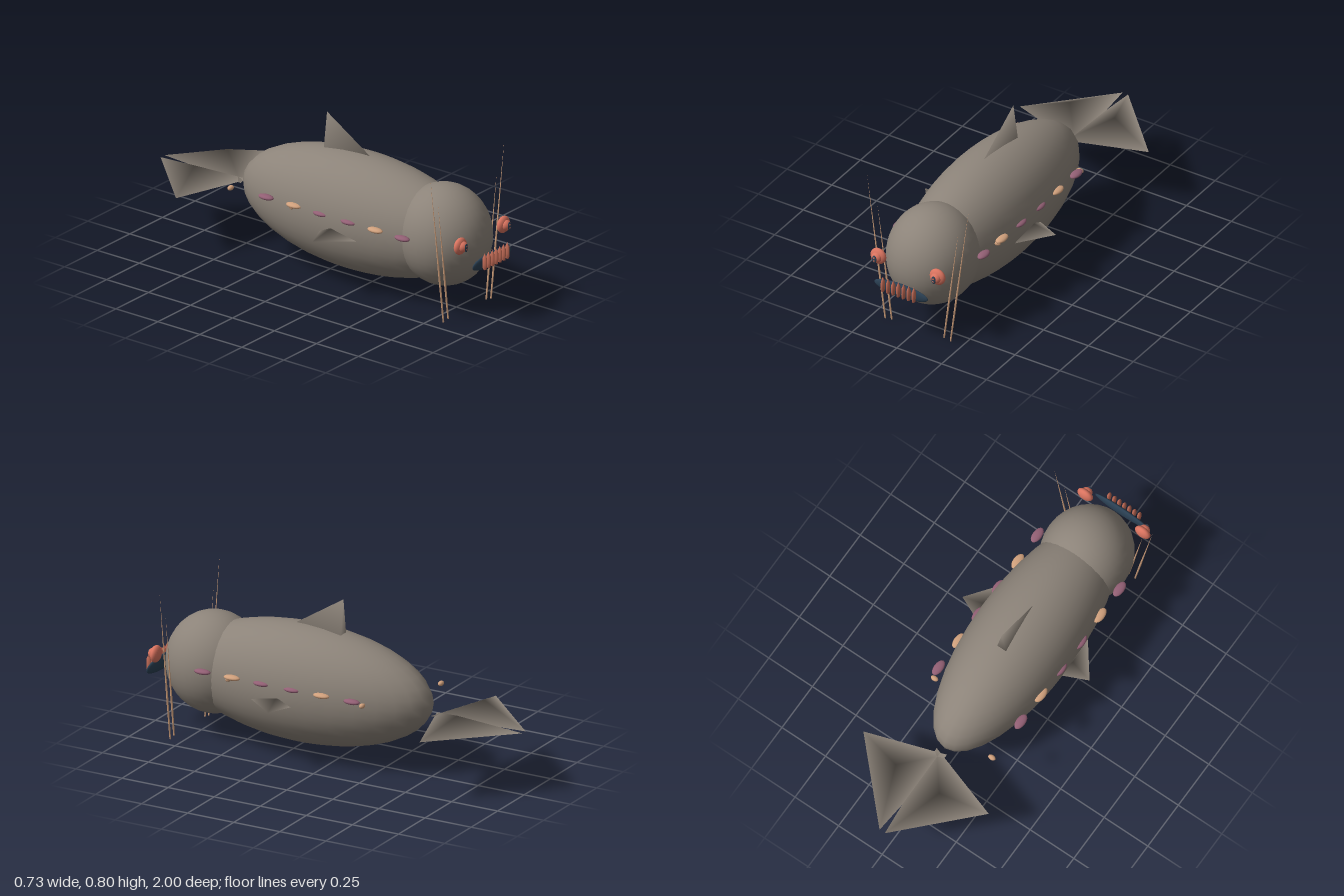
import * as THREE from 'three';

const mat = (name, color, side = THREE.FrontSide) => {
  const m = new THREE.MeshStandardMaterial({ color, side });
  m.name = name;
  return m;
};

export function createModel() {
  const grey = mat('skinGrey', 0x8c8379);
  const purple = mat('spotPurple', 0x925f74);
  const tan = mat('whiskerTan', 0xd0a07c);
  const salmon = mat('eyeSalmon', 0xd9735f);
  const toothRed = mat('toothRed', 0xc06a55);
  const navy = mat('mouthNavy', 0x2a3f52);

  const model = new THREE.Group();
  model.name = 'fish';

  const add = (name, geometry, material) => {
    const mesh = new THREE.Mesh(geometry, material);
    mesh.name = name;
    model.add(mesh);
    return mesh;
  };

  // Ellipsoid given by centre and radii
  const blob = (name, material, [x, y, z], [rx, ry, rz], w = 24, h = 16) => {
    const g = new THREE.SphereGeometry(1, w, h);
    g.scale(rx, ry, rz).translate(x, y, z);
    return add(name, g, material);
  };

  // Four-cornered fin with soft shared normals; corners a, b, c run
  // anticlockwise seen from the apex, mirrored fins swap two of them
  const fin = (name, a, b, c, apex, s = 1) => {
    const corners = s > 0 ? [a, b, c, apex] : [b, a, c, apex];
    const g = new THREE.BufferGeometry();
    g.setAttribute('position', new THREE.Float32BufferAttribute(
      corners.flatMap(([x, y, z]) => [x * s, y, z]), 3));
    g.setIndex([0, 1, 3, 1, 2, 3, 2, 0, 3, 2, 1, 0]);
    g.computeVertexNormals();
    return add(name, g, grey);
  };

  // Body and head
  blob('body', grey, [0, 0.35, 0.18], [0.25, 0.29, 0.675], 32, 20);
  blob('head', grey, [0, 0.36, 0.68], [0.22, 0.25, 0.235], 32, 20);

  // Dorsal fin
  fin('dorsalFin', [-0.027, 0.61, -0.02], [0, 0.61, 0.28], [0.027, 0.61, -0.02], [0, 0.8, -0.02]);

  for (const s of [1, -1]) {
    const side = s > 0 ? 'left' : 'right';

    // Tail and side fins
    fin(side + 'TailFin', [-0.03, 0.315, -0.51], [0.36, 0.315, -0.64], [0.015, 0.315, -1],
      [0.125, 0.385, -0.71], s);
    fin(side + 'SideFin', [0.24, 0.31, 0.345], [0.365, 0.31, 0.18], [0.21, 0.31, 0.11],
      [0.255, 0.345, 0.2], s);

    // Row of spots along the flank
    [0.61, 0.45, 0.29, 0.125, -0.035, -0.2].forEach((z, i) =>
      blob(side + 'Spot' + (i + 1), i % 3 === 1 ? tan : purple,
        [s * 0.236, 0.395, z], [0.023, 0.0125, 0.043], 16, 10));

    // Small loose spots
    for (const z of s > 0 ? [0.475, -0.25] : [-0.05, -0.42])
      blob(side + 'SmallSpot', tan, [s * 0.224, 0.38, z], [0.02, 0.012, 0.013], 12, 8);

    // Eye: ball, iris, pupil and two glints
    const x = s * 0.165;
    blob(side + 'Eye', salmon, [x, 0.408, 0.902], [0.042, 0.042, 0.022]);
    blob(side + 'Iris', salmon, [x, 0.408, 0.915], [0.027, 0.027, 0.026]);
    blob(side + 'Pupil', navy, [x, 0.408, 0.938], [0.012, 0.021, 0.0045], 16, 10);
    for (const dy of [0.008, -0.007])
      blob(side + 'Glint', salmon, [x, 0.408 + dy, 0.941], [0.005, 0.005, 0.003], 10, 8);

    // Whiskers, thick at the foot and pointed at the top
    for (const [topX, topY, footX, footY] of [[0.283, 0.772, 0.182, 0.002], [0.225, 0.625, 0.146, 0.008]]) {
      const top = new THREE.Vector3(s * topX, topY, 0.815);
      const foot = new THREE.Vector3(s * footX, footY, 0.815);
      const dir = top.clone().sub(foot);
      const g = new THREE.LatheGeometry(
        [[0, 0], [0.004, 0], [0.005, 0.3], [0, 1]].map(([r, t]) => new THREE.Vector2(r, t * dir.length())), 8);
      const whisker = add(side + 'Whisker', g, tan);
      whisker.position.copy(foot);
      whisker.quaternion.setFromUnitVectors(new THREE.Vector3(0, 1, 0), dir.normalize());
    }
  }

  // Mouth and teeth
  blob('mouth', navy, [0, 0.305, 0.962], [0.15, 0.037, 0.014]);
  const tooth = new THREE.LatheGeometry(
    [[0, 0.28], [0.007, 0.285], [0.009, 0.31], [0.0085, 0.34], [0, 0.366]].map(p => new THREE.Vector2(...p)), 8);
  tooth.scale(1, 1, 1.5);
  for (let i = -3; i <= 3; i++)
    add('tooth', tooth, toothRed).position.set(i * 0.0287, 0, 0.9865);

  return model;
}
